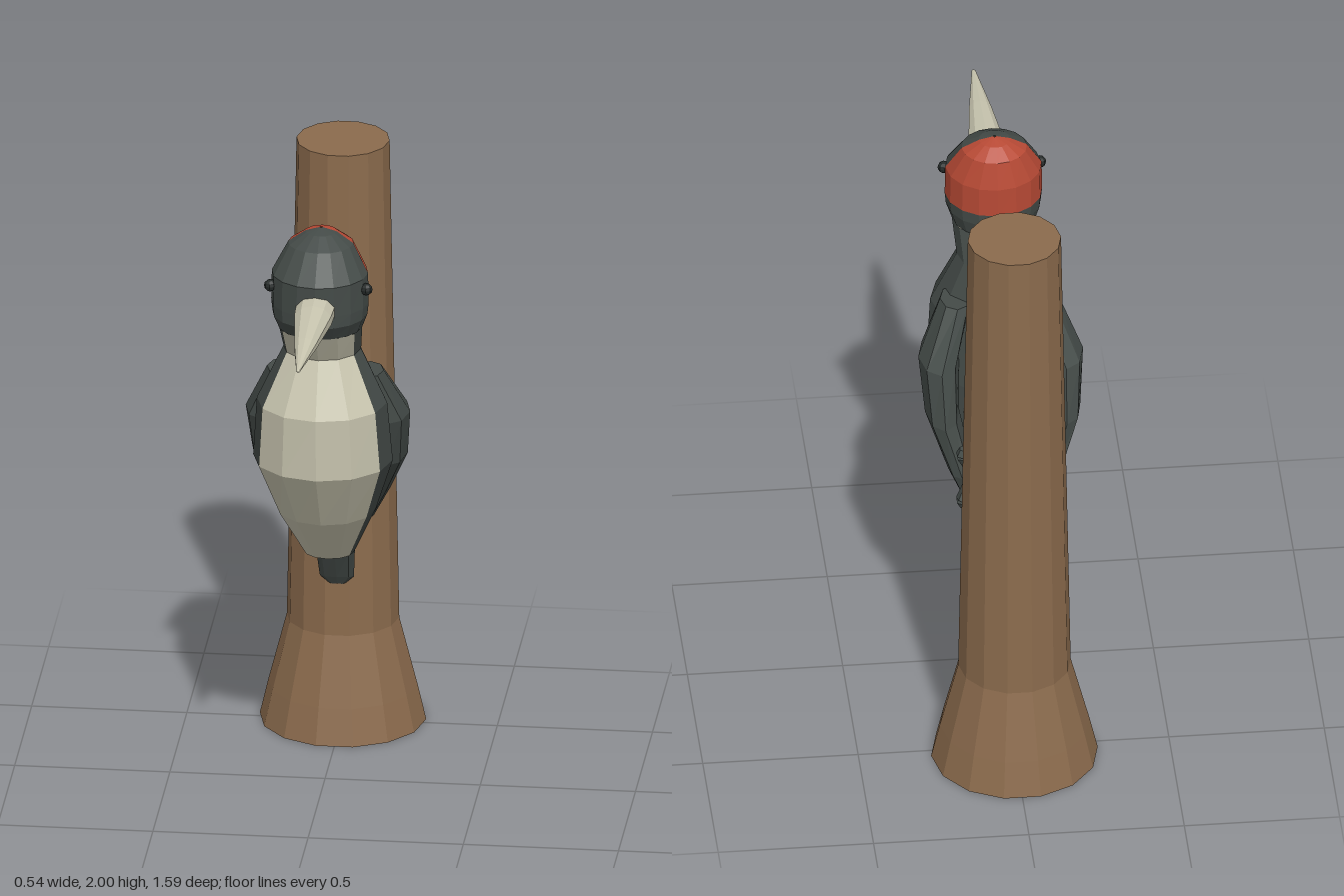
import * as THREE from 'three';

const paint = (color) => new THREE.MeshStandardMaterial({ color, flatShading: true, side: THREE.DoubleSide });
const dark = paint(0x444b48), pale = paint(0xc9c6b0), red = paint(0xb84a35);
const bark = paint(0x8b6b4d), black = paint(0x262b2a);

// Skin over horizontal elliptical rings [y, x, z, rx, rz], listed bottom to top,
// covering the sides from index `from` to `to` out of `sides`
function loft(rings, sides, from = 0, to = sides, caps = true) {
  const pos = [];
  const point = ([y, x, z, rx, rz], i) => {
    const a = (i / sides) * Math.PI * 2;
    return [x + rx * Math.cos(a), y, z + rz * Math.sin(a)];
  };
  for (let i = from; i < to; i++) {
    for (let k = 0; k < rings.length - 1; k++) {
      const a = point(rings[k], i), b = point(rings[k], i + 1);
      const c = point(rings[k + 1], i), d = point(rings[k + 1], i + 1);
      pos.push(...a, ...c, ...b, ...b, ...c, ...d);
    }
    if (caps) {
      const lo = rings[0], hi = rings[rings.length - 1];
      pos.push(lo[1], lo[0], lo[2], ...point(lo, i), ...point(lo, i + 1));
      pos.push(hi[1], hi[0], hi[2], ...point(hi, i + 1), ...point(hi, i));
    }
  }
  const geo = new THREE.BufferGeometry();
  geo.setAttribute('position', new THREE.Float32BufferAttribute(pos, 3));
  geo.computeVertexNormals();
  return geo;
}

function add(parent, name, geo, mat) {
  const mesh = new THREE.Mesh(geo, mat);
  mesh.name = name;
  parent.add(mesh);
  return mesh;
}

// Tapered rod between two points
function rod(parent, name, a, b, ra, rb, sides, mat) {
  const from = new THREE.Vector3(...a), to = new THREE.Vector3(...b);
  const dir = to.clone().sub(from);
  const mesh = add(parent, name, new THREE.CylinderGeometry(rb, ra, dir.length(), sides), mat);
  mesh.position.copy(from).add(to).multiplyScalar(0.5);
  mesh.quaternion.setFromUnitVectors(new THREE.Vector3(0, 1, 0), dir.normalize());
  return mesh;
}

export function createModel() {
  const model = new THREE.Group();
  model.name = 'woodpeckerOnTrunk';

  // Tree trunk with flared foot
  add(model, 'trunk', loft([
    [0, 0, -0.53, 0.268, 0.268], [0.12, 0, -0.53, 0.24, 0.24],
    [0.35, 0, -0.53, 0.181, 0.181], [2, 0, -0.53, 0.15, 0.15],
  ], 14), bark);

  // Torso and neck: dark back, pale front
  const torso = [
    [0.74, 0, -0.12, 0.08, 0.07], [0.93, 0, -0.03, 0.16, 0.16], [1.14, 0, 0.06, 0.225, 0.21],
    [1.35, 0, 0.09, 0.21, 0.19], [1.53, 0, 0.08, 0.125, 0.12], [1.63, 0, 0.14, 0.135, 0.125],
  ];
  add(model, 'breast', loft(torso, 12, 1, 5, false), pale);
  add(model, 'back', loft(torso, 12, 5, 13, false), dark);
  add(model, 'rump', loft([torso[0], [0.741, 0, -0.12, 0.08, 0.07]], 12), dark);

  // Head with a red crown on the rear half
  const jaw = [[1.63, 0, 0.14, 0.135, 0.125], [1.68, 0, 0.15, 0.153, 0.15], [1.72, 0, 0.15, 0.157, 0.15]];
  const skull = [jaw[2], [1.82, 0, 0.15, 0.155, 0.15], [1.91, 0, 0.122, 0.105, 0.1],
    [1.945, 0, 0.112, 0.05, 0.05], [1.957, 0, 0.11, 0.004, 0.004]];
  add(model, 'jaw', loft(jaw, 16), dark);
  add(model, 'face', loft(skull, 16, 0, 8, false), dark);
  add(model, 'crown', loft(skull, 16, 8, 16, false), red);

  // Beak
  const beak = new THREE.LatheGeometry(
    [[0, 0], [0.052, 0], [0.049, 0.1], [0.029, 0.32], [0.005, 0.53], [0, 0.538]].map((p) => new THREE.Vector2(...p)), 10);
  beak.rotateX(Math.PI / 2).scale(1.27, 1, 1).translate(0, 1.738, 0.262);
  add(model, 'beak', beak, pale);

  // Tail braced against the trunk
  add(model, 'tail', loft([
    [0.53, 0, -0.358, 0.025, 0.006], [0.56, 0, -0.348, 0.055, 0.014], [0.66, 0, -0.307, 0.062, 0.025],
    [0.78, 0, -0.245, 0.072, 0.04], [0.92, 0, -0.165, 0.08, 0.05],
  ], 8), dark);

  for (const s of [1, -1]) {
    const side = s > 0 ? 'left' : 'right';

    add(model, side + 'Eye', new THREE.SphereGeometry(0.02, 8, 6), black).position.set(s * 0.155, 1.785, 0.2);

    // Folded wing
    add(model, side + 'Wing', loft([
      [0.8, s * 0.105, -0.285, 0.02, 0.018], [0.92, s * 0.145, -0.245, 0.04, 0.067],
      [1.08, s * 0.195, -0.15, 0.055, 0.12], [1.25, s * 0.2, -0.085, 0.065, 0.118],
      [1.42, s * 0.138, -0.01, 0.05, 0.07],
    ], 8), dark);

    // Leg and gripping foot
    rod(model, side + 'Leg', [s * 0.095, 1.06, -0.1], [s * 0.108, 1, -0.385], 0.027, 0.034, 8, pale);
    const foot = new THREE.Group();
    foot.name = side + 'Foot';
    model.add(foot);
    for (const v of [1, -1]) {
      for (const [x, z] of [[0.105, -0.395], [0.148, -0.415]]) {
        const toe = [s * x, 1 + v * 0.09, z];
        rod(foot, 'toe', [s * 0.118, 1, -0.395], toe, 0.018, 0.03, 6, dark);
        rod(foot, 'claw', toe, [s * x, 1 + v * 0.112, z], 0.03, 0.018, 6, dark);
      }
    }
  }
  return model;
}
